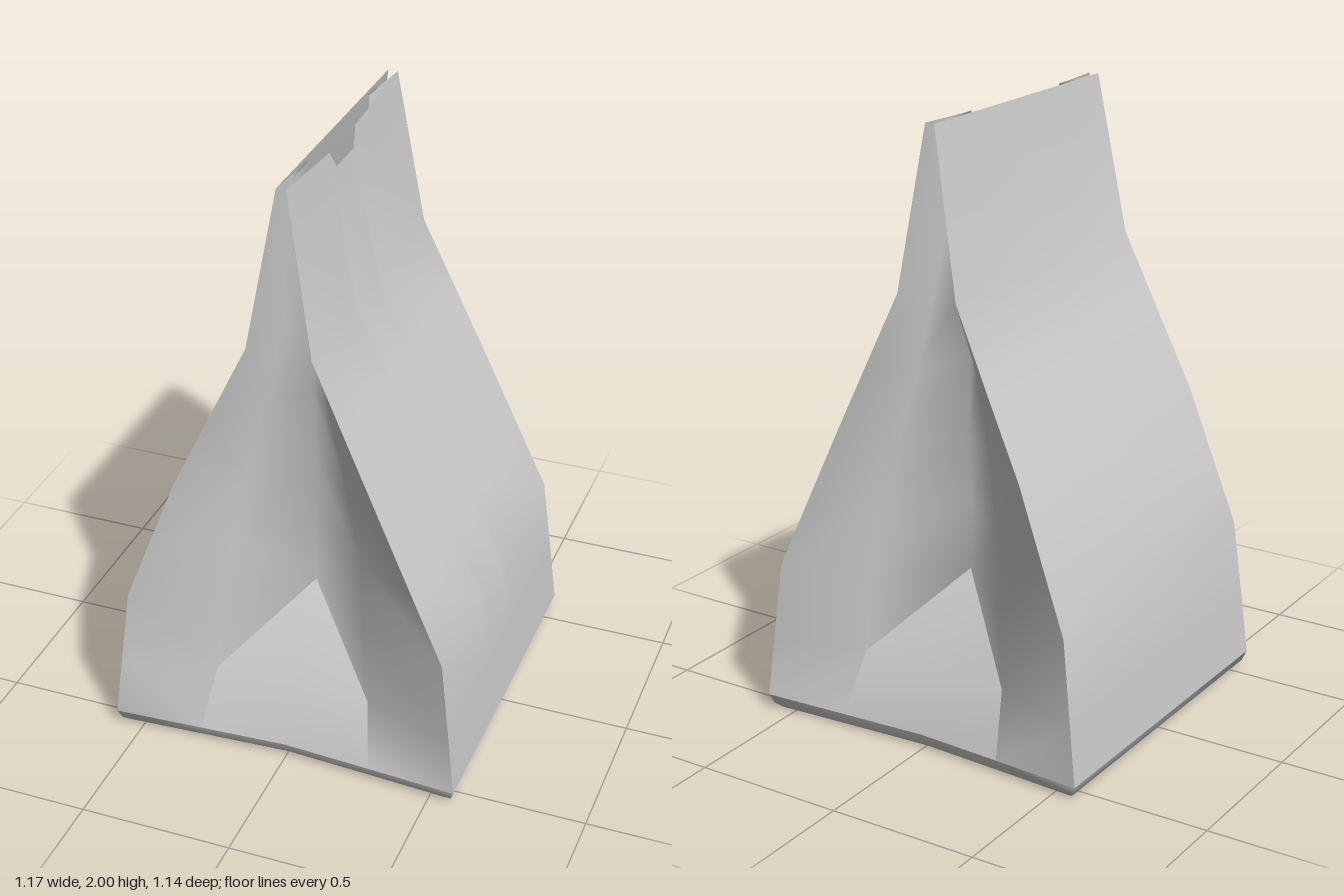
import * as THREE from 'three';
import { mergeVertices } from 'three/addons/utils/BufferGeometryUtils.js';

const material = new THREE.MeshStandardMaterial({ color: 0xcccccc, side: THREE.DoubleSide });

// Height levels: y, left edge x, right edge x, edge z, gusset mid x (left, right), mid z, fold x, fold z.
const LEVELS = [
  [0.05, -0.585, 0.585, 0.57, -0.29, 0.29, 0.552, null, null],
  [0.25, -0.562, 0.562, 0.562, -0.26, 0.26, 0.47, null, null],
  [0.52, -0.53, 0.53, 0.55, -0.235, 0.235, 0.455, 0, 0.25],
  [0.75, -0.443, 0.425, 0.54, -0.215, 0.215, 0.425, 0, 0.25],
  [0.97, -0.36, 0.325, 0.53, -0.175, 0.165, 0.4, 0, 0.25],
  [1.22, -0.242, 0.21, 0.516, -0.115, 0.1, 0.38, -0.005, 0.25],
  [1.48, -0.12, 0.09, 0.5, -0.058, 0.042, 0.37, -0.01, 0.25],
  [2.0, -0.028, 0.004, 0.467, -0.02, -0.006, 0.36, -0.013, 0.25],
];

// Skin a grid of points: rows go up, columns go left to right seen from outside.
function skin(name, rows, { flip = false, skip = -1 } = {}) {
  const n = rows[0].length;
  const index = [];
  for (let r = 0; r < rows.length - 1; r++) {
    for (let c = 0; c < n - 1; c++) {
      if (c === skip) continue;
      const a = r * n + c, b = a + 1, d = a + n, e = d + 1;
      index.push(...(flip ? [a, d, b, b, d, e] : [a, b, d, b, e, d]));
    }
  }
  const geometry = new THREE.BufferGeometry();
  geometry.setAttribute('position', new THREE.Float32BufferAttribute(rows.flat(2), 3));
  geometry.setIndex(index);
  const merged = mergeVertices(geometry, 1e-4);
  merged.computeVertexNormals();
  const mesh = new THREE.Mesh(merged, material);
  mesh.name = name;
  return mesh;
}

// Broad side panel; topDrop lowers the rim at each column.
function sidePanel(name, side, columns, topDrop) {
  const rows = LEVELS.map(([y, left, right, z], i) => columns.map((f, c) => {
    const drop = i === LEVELS.length - 1 ? topDrop[c] : 0;
    const x = side > 0 ? right + drop * 0.165 : left - drop * 0.177;
    return [x, y - drop, z * f];
  }));
  return skin(name, rows, { flip: side < 0 });
}

// Inward folded gusset; the fold starts at the tip of the base flap.
function gusset(name, s) {
  const rows = LEVELS.map(([y, l, r, ze, ml, mr, zm, fx, fz]) => {
    const fold = (m) => (fx === null ? [m, y, s * zm] : [fx, y, s * fz]);
    return [[l, y, s * ze], [ml, y, s * zm], fold(ml), fold(mr), [mr, y, s * zm], [r, y, s * ze]];
  });
  return skin(name, rows, { flip: s < 0, skip: 2 });
}

// Pointed flap rising from the base into the gusset.
function baseFlap(name, s) {
  const rows = [
    [[-0.29, 0.05, s * 0.552], [0, 0.05, s * 0.535], [0.29, 0.05, s * 0.552]],
    [[-0.26, 0.25, s * 0.47], [0, 0.25, s * 0.462], [0.26, 0.25, s * 0.47]],
    [[0, 0.52, s * 0.25], [0, 0.52, s * 0.25], [0, 0.52, s * 0.25]],
  ];
  return skin(name, rows, { flip: s < 0 });
}

// Base outline, bowed in slightly at the front and back.
function baseRing(y, inset) {
  const front = [[-0.585, 0.57], [-0.29, 0.552], [0, 0.535], [0.29, 0.552], [0.585, 0.57]];
  const back = front.map(([x, z]) => [-x, -z]);
  return [...front, ...back, front[0]].map(([x, z]) => [x * (1 - inset), y, z * (1 - inset)]);
}

export function createModel() {
  const bag = new THREE.Group();
  bag.name = 'gussetedBag';

  // Panels: the right one has a thumb notch in its rim.
  bag.add(sidePanel('notchedPanel', 1, [1, 0.3, 0.225, -0.085, -0.16, -1], [0, 0.022, 0.08, 0.08, 0.022, 0]));
  bag.add(sidePanel('plainPanel', -1, [1, 0, -1], [0, 0, 0]));

  // Front and back folds.
  for (const [label, s] of [['front', 1], ['back', -1]]) {
    bag.add(gusset(label + 'Gusset', s), baseFlap(label + 'BaseFlap', s));
  }

  // Bevelled base.
  const sole = baseRing(0, 0.055);
  bag.add(skin('baseBevel', [sole, baseRing(0.018, 0.02), baseRing(0.05, 0)]));
  bag.add(skin('baseSole', [sole.map(() => [0, 0, 0]), sole]));
  return bag;
}
